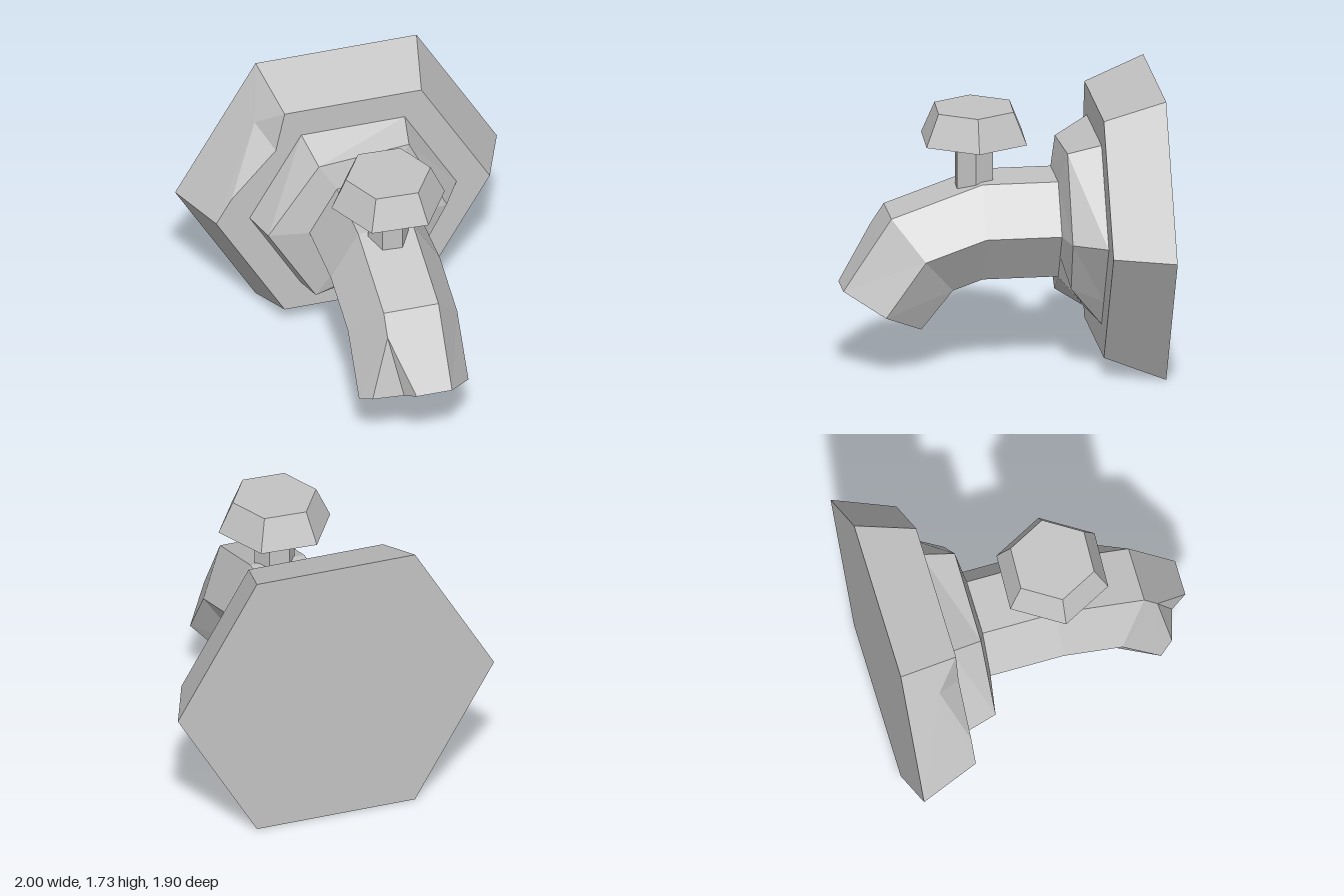
import * as THREE from 'three';

const CY = 0.867; // height of the main axis
const stone = new THREE.MeshStandardMaterial({ color: 0xc4c4c4 });
stone.name = 'stoneGrey';

// Collects flat faces as triangle fans and joins rings of points
class Faces {
  constructor() { this.points = []; }
  fan(p) {
    for (let i = 1; i < p.length - 1; i++) this.points.push(p[0], p[i], p[i + 1]);
  }
  loft(a, b, skip = []) {
    a.forEach((_, i) => {
      const j = (i + 1) % a.length;
      if (!skip.includes(i)) this.fan([a[i], a[j], b[j], b[i]]);
    });
  }
  mesh(name) {
    const g = new THREE.BufferGeometry().setFromPoints(this.points);
    g.computeVertexNormals();
    const m = new THREE.Mesh(g, stone);
    m.name = name;
    return m;
  }
}

const v = (x, y, z) => new THREE.Vector3(x, y, z);

// Six-sided ring, counterclockwise from +x, optionally tilted about x
function hexRing(r, y, z, rise = r * Math.sqrt(0.75), lean = 0) {
  return [0, 1, 2, 3, 4, 5].map((i) => {
    const a = i * Math.PI / 3;
    const s = Math.sin(a) / Math.sin(Math.PI / 3);
    return v(r * Math.cos(a), y + s * rise, z + s * lean);
  });
}

// Large wall plate with a chip out of its upper right edge
function wallPlate() {
  const f = new Faces();
  const a = hexRing(1, CY, -0.95), b = hexRing(0.85, CY, -0.585);
  const inner = v(-0.48, 1.34, -0.585), low = v(-0.755, 1.031, -0.585), apex = v(-0.57, 1.467, -0.73);
  f.fan([...a].reverse());
  f.loft(a, b, [2]);
  f.fan([apex, b[2], a[2], a[3], b[3], low]);
  f.fan([apex, low, inner, b[2]]);
  f.fan([b[0], b[1], b[2], inner, low, b[3], b[4], b[5]]);
  return f.mesh('wallPlate');
}

// Smaller stepped flange, uneven rim with a broken lower corner
function flange() {
  const f = new Faces();
  const back = [...hexRing(0.643, CY, -0.585), v(0.42, 0.48, -0.585)];
  const z = -0.385;
  const rim = [v(0.525, CY, z), v(0.29, 1.37, z), v(-0.27, 1.32, z), v(-0.585, CY, z),
    v(-0.29, 0.36, z), v(0.25, 0.41, -0.485), v(0.37, 0.55, -0.395)];
  const neck = [...hexRing(0.34, CY, -0.345), v(0.255, 0.72, -0.345)];
  f.loft(back, rim);
  f.loft(rim, neck);
  return f.mesh('flange');
}

// Bent spout with a hollow mouth and a chipped upper corner
function spout() {
  const f = new Faces();
  const start = hexRing(0.34, CY, -0.36), straight = hexRing(0.34, CY, 0.11);
  const bend = hexRing(0.34, 0.74, 0.475, 0.23, 0.185);
  const end = hexRing(0.34, 0.403, 0.715, 0.128, 0.235);
  const hole = hexRing(0.2, 0.403, 0.715, 0.075, 0.138);
  const deep = hexRing(0.19, 0.66, 0.53, 0.09, 0.12);
  f.loft(start, straight);
  f.loft(straight, bend);
  f.loft(bend, end, [1, 2]);
  const apex = v(-0.17, 0.845, 0.742), side = v(-0.28, 0.449, 0.8), top = v(-0.05, 0.531, 0.95);
  f.fan([apex, top, end[1], bend[1], bend[2]]);
  f.fan([apex, bend[2], bend[3], end[3], side]);
  f.fan([apex, side, hole[2], top]);
  // Lip around the mouth, then the hollow
  f.loft(end, hole, [1, 2]);
  f.fan([end[1], top, hole[2], hole[1]]);
  f.fan([side, end[3], hole[3], hole[2]]);
  f.loft(hole, deep);
  f.fan(deep);
  return f.mesh('spout');
}

// Six-sided turned piece for the tap handle
function handlePart(name, rTop, rBottom, y0, y1) {
  const g = new THREE.CylinderGeometry(rTop, rBottom, y1 - y0, 6, 1, false, Math.PI / 2 - 0.043).toNonIndexed();
  g.computeVertexNormals();
  const m = new THREE.Mesh(g, stone);
  m.name = name;
  m.position.set(0.008, (y0 + y1) / 2, 0.14);
  return m;
}

export function createModel() {
  const model = new THREE.Group();
  model.name = 'wallTap';
  const handle = new THREE.Group();
  handle.name = 'handle';
  handle.add(
    handlePart('handleStem', 0.125, 0.125, 1.1, 1.42),
    handlePart('handleKnob', 0.26, 0.348, 1.405, 1.6),
  );
  model.add(wallPlate(), flange(), spout(), handle);
  return model;
}
